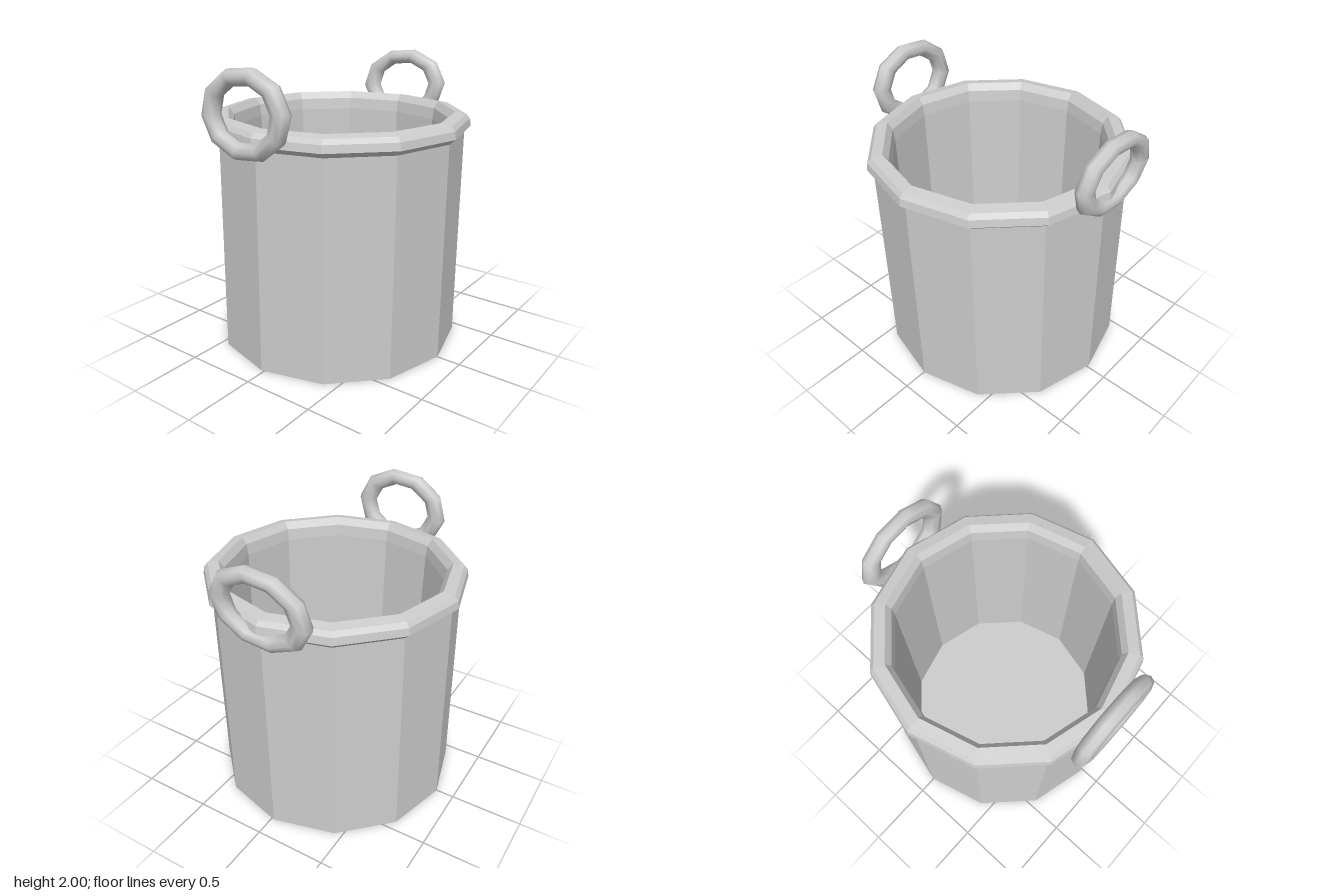
import * as THREE from 'three';

const SIDES = 12;

// Faceted 12-sided shell from a [radius, y] profile, leaning gently from its base offset to zero at the top
function facetedShell(profile, baseX, baseZ) {
  const geo = new THREE.LatheGeometry(profile.map(([r, y]) => new THREE.Vector2(r, y)), SIDES);
  const p = geo.attributes.position;
  for (let i = 0; i < p.count; i++) {
    const lean = Math.max(0, 1 - p.getY(i) / 1.5);
    p.setX(i, p.getX(i) - 0.003 + baseX * lean);
    p.setZ(i, p.getZ(i) + baseZ * lean);
  }
  const flat = geo.toNonIndexed();
  flat.computeVertexNormals();
  return flat;
}

// Oval ring lying in the y-z plane, slightly tipped towards the front
function ringHandle(halfWidth, halfHeight, tube) {
  const geo = new THREE.TorusGeometry(0.25, tube, 8, 10);
  geo.scale(halfWidth / (0.25 + tube), halfHeight / (0.25 + tube), 0.9);
  geo.rotateZ(-0.1);
  geo.rotateY(Math.PI / 2);
  return geo;
}

export function createModel() {
  const model = new THREE.Group();
  const metal = new THREE.MeshStandardMaterial({ color: 0xcccccc });
  const add = (name, geo) => {
    const mesh = new THREE.Mesh(geo, metal);
    mesh.name = name;
    model.add(mesh);
    return mesh;
  };

  // Outer wall with its closed bottom
  add('potBody', facetedShell([[0, 0], [0.852, 0], [0.847, 1.5]], 0.006, -0.02));

  // Bevelled lip, from under the flange over the top and down inside
  add('rim', facetedShell([
    [0.847, 1.5], [0.888, 1.535], [0.88, 1.585], [0.855, 1.615],
    [0.78, 1.628], [0.745, 1.58], [0.735, 1.5],
  ], 0, 0));

  // Inner wall and floor
  add('interior', facetedShell([[0.735, 1.5], [0.715, 0.08], [0, 0.08]], 0.02, 0.005));

  // Ring handles, each hung a little differently
  const left = add('leftHandle', ringHandle(0.36, 0.268, 0.06));
  left.position.set(0.866, 1.696, -0.026);
  left.rotation.z = -0.06;

  const right = add('rightHandle', ringHandle(0.352, 0.288, 0.06));
  right.position.set(-0.885, 1.72, -0.04);

  return model;
}
